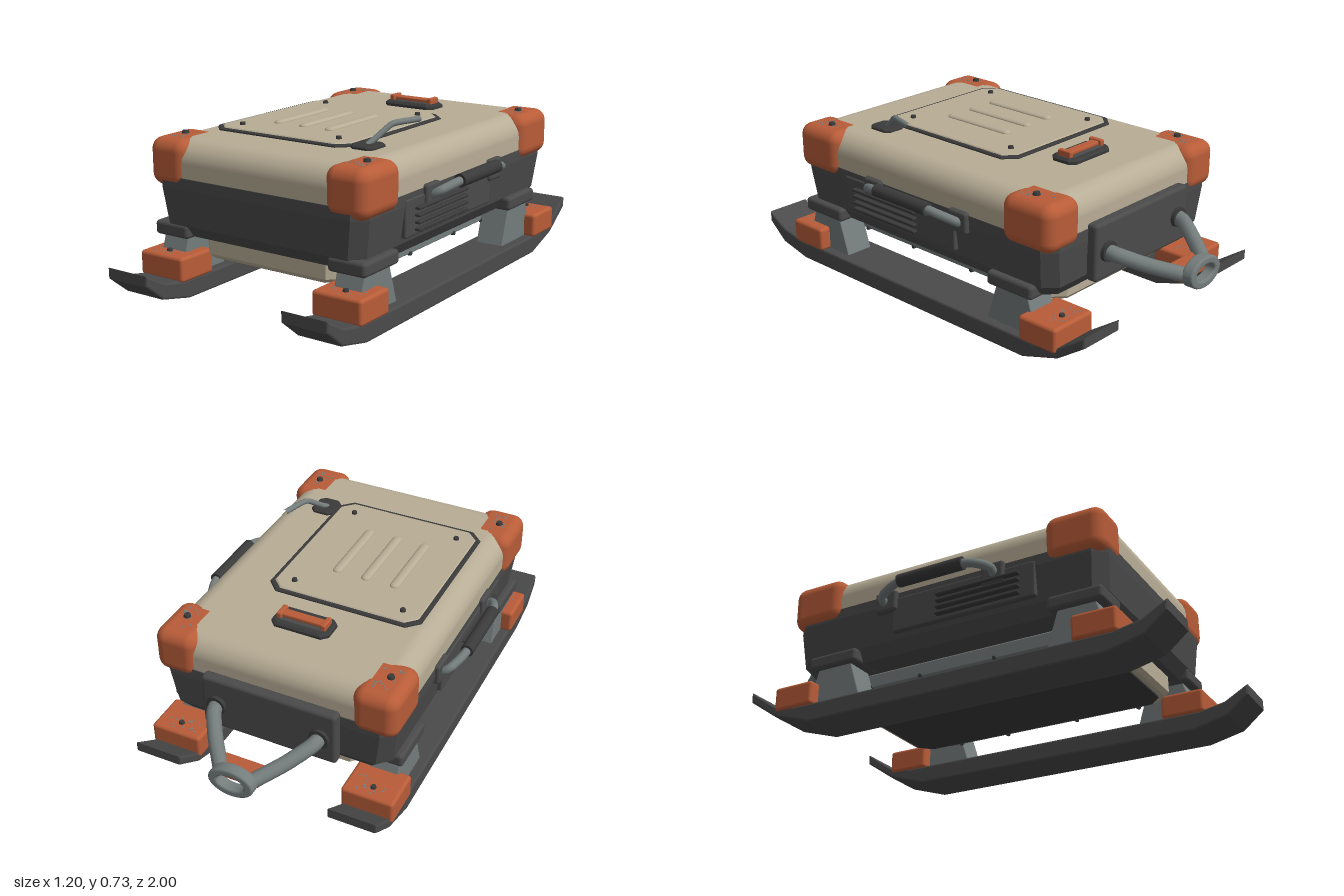
import * as THREE from 'three';
import { RoundedBoxGeometry } from 'three/addons/geometries/RoundedBoxGeometry.js';

const mat = (name, color) => Object.assign(new THREE.MeshStandardMaterial({ color }), { name });

// Stacked chamfered rectangles [y, halfX, halfZ, chamfer] joined into a closed solid
function loft(sections) {
  const rings = sections.map(([y, a, b, c]) => [
    [a, b - c], [a - c, b], [c - a, b], [-a, b - c], [-a, c - b], [c - a, -b], [a - c, -b], [a, c - b],
  ].map(([x, z]) => [x, y, z]));
  const v = [];
  rings.forEach((r, k) => {
    for (let i = 0; i < 8; i++) {
      const j = (i + 1) % 8, up = rings[k + 1];
      if (up) v.push(...r[i], ...up[i], ...r[j], ...r[j], ...up[i], ...up[j]);
      if (k === 0) v.push(0, r[0][1], 0, ...r[i], ...r[j]);
      if (!up) v.push(0, r[0][1], 0, ...r[j], ...r[i]);
    }
  });
  const g = new THREE.BufferGeometry();
  g.setAttribute('position', new THREE.Float32BufferAttribute(v, 3));
  g.computeVertexNormals();
  return g;
}

// Flat plate with chamfered corners and a small top bevel
const plate = (w, h, d, c) => loft([
  [0, w / 2, d / 2, c], [h * 0.6, w / 2, d / 2, c], [h, w / 2 - h * 0.4, d / 2 - h * 0.4, c]]);

// Side profile of [z, y] points extruded across x
function profile(points, width, bevel) {
  const g = new THREE.ExtrudeGeometry(new THREE.Shape(points.map(p => new THREE.Vector2(...p))), {
    depth: width - 2 * bevel, bevelEnabled: bevel > 0, bevelSize: bevel, bevelThickness: bevel,
    bevelOffset: -bevel, bevelSegments: 2 });
  return g.translate(0, 0, bevel - width / 2).rotateY(-Math.PI / 2);
}

const tube = (points, r) => {
  const path = new THREE.CatmullRomCurve3(points.map(p => new THREE.Vector3(...p)), false, 'catmullrom', 0.3);
  return new THREE.TubeGeometry(path, 28, r, 12);
};

export function createModel() {
  const model = new THREE.Group();
  const beige = mat('beige shell', 0xb8ad96), dark = mat('dark hull', 0x4a4a4a);
  const black = mat('black rubber', 0x3a3a3b), orange = mat('orange guard', 0xb85c38);
  const steel = mat('grey steel', 0x747c7c);

  const add = (name, geometry, material, x = 0, y = 0, z = 0) => {
    const m = new THREE.Mesh(geometry, material);
    m.name = name;
    m.position.set(x, y, z);
    model.add(m);
    return m;
  };
  const rbox = (w, h, d, r) => new RoundedBoxGeometry(w, h, d, 4, r);
  const bolt = (x, y, z, r = 0.013) => add('bolt', new THREE.CylinderGeometry(r * 0.8, r, 0.014, 10), black, x, y, z);

  // Seeded scatter of bare-metal wear chips
  let seed = 7;
  const rnd = () => (seed = (seed * 16807) % 2147483647) / 2147483647;
  const chips = (x, y, z, w, d) => {
    for (let i = 0; i < 14; i++) {
      add('wearChip', new THREE.CylinderGeometry(0.003 + rnd() * 0.003, 0.006, 0.002, 5), steel,
        x + (rnd() - 0.5) * w, y, z + (rnd() - 0.5) * d);
    }
  };

  // Hull and upper shell
  add('lowerHull', loft([
    [0.24, 0.45, 0.66, 0.05], [0.29, 0.482, 0.697, 0.05], [0.44, 0.502, 0.709, 0.05], [0.485, 0.502, 0.709, 0.05],
  ]), dark, 0, 0, 0.05);
  add('upperShell', rbox(1, 0.27, 1.41, 0.09), beige, 0, 0.498, 0.05);

  // Belly tray
  add('bellyTray', loft([[0.152, 0.32, 0.605, 0.05], [0.17, 0.335, 0.62, 0.05], [0.245, 0.335, 0.62, 0.05]]), beige, 0, 0, 0.06);
  add('bellySkidPlate', plate(0.61, 0.012, 1.17, 0.05), black, 0, 0.143, 0.06);

  // Hatch with ribs and bolts
  add('hatchFrame', plate(0.67, 0.012, 0.745, 0.05), black, -0.0775, 0.63, 0.14);
  add('hatchPanel', plate(0.64, 0.015, 0.715, 0.045), beige, -0.0775, 0.631, 0.14);
  for (const x of [-0.22, -0.092, 0.036]) {
    const rib = add('hatchRib', new THREE.CapsuleGeometry(0.021, 0.31, 5, 14), beige, x, 0.646, 0.15);
    rib.rotation.x = Math.PI / 2;
    rib.scale.z = 0.55;
  }
  for (const x of [-0.318, 0.162]) for (const z of [-0.15, 0.42]) bolt(x, 0.65, z);

  // Hatch lever
  add('leverBase', plate(0.105, 0.014, 0.12, 0.02), black, 0.305, 0.632, 0.43);
  add('lever', tube([[0.3, 0.64, 0.43], [0.315, 0.66, 0.4], [0.345, 0.708, 0.335], [0.36, 0.714, 0.3], [0.39, 0.714, 0.2]], 0.012), steel);

  // Top latch
  add('latchBase', plate(0.25, 0.022, 0.125, 0.025), black, 0, 0.631, -0.38);
  add('latchRecess', plate(0.2, 0.006, 0.075, 0.01), dark, 0, 0.65, -0.38);
  add('latchBar', rbox(0.18, 0.018, 0.04, 0.006), orange, 0, 0.662, -0.38);
  for (const s of [-1, 1]) add('latchPost', rbox(0.022, 0.032, 0.065, 0.006), orange, s * 0.095, 0.662, -0.38);

  // Rear towing bracket
  add('towPlate', rbox(0.58, 0.235, 0.05, 0.015), dark, 0, 0.39, -0.675);
  add('towYoke', rbox(0.19, 0.045, 0.09, 0.01), orange, 0, 0.31, -0.91);
  const ring = new THREE.Shape().absellipse(0, 0, 0.095, 0.063, 0, Math.PI * 2);
  ring.holes.push(new THREE.Path().absellipse(0, 0, 0.058, 0.032, 0, Math.PI * 2, true));
  add('towRing', new THREE.ExtrudeGeometry(ring, {
    depth: 0.034, bevelEnabled: true, bevelSize: 0.008, bevelOffset: -0.008, bevelThickness: 0.008, bevelSegments: 2, curveSegments: 24,
  }), steel, 0, 0.315, -0.992);

  for (const s of [-1, 1]) {
    add('towArm', tube([[s * 0.225, 0.39, -0.68], [s * 0.215, 0.38, -0.74], [s * 0.15, 0.345, -0.84], [s * 0.06, 0.31, -0.955]], 0.03), steel);
    add('towArmCollar', new THREE.CylinderGeometry(0.042, 0.042, 0.02, 16).rotateX(Math.PI / 2), black, s * 0.223, 0.388, -0.705);

    // Side vent panel and slats
    add('ventPanel', rbox(0.03, 0.15, 0.645, 0.008), dark, s * 0.492, 0.388, 0.153);
    for (let i = 0; i < 4; i++) {
      add('ventSlat', rbox(0.04, 0.012, 0.37, 0.005), black, s * 0.508, 0.337 + i * 0.028, 0.227);
    }

    // Carry handle
    add('handleTube', tube([[s * 0.5, 0.44, 0.3], [s * 0.54, 0.465, 0.3], [s * 0.568, 0.485, 0.24], [s * 0.575, 0.492, 0.18],
      [s * 0.575, 0.492, -0.07], [s * 0.568, 0.485, -0.13], [s * 0.54, 0.465, -0.2], [s * 0.5, 0.44, -0.2]], 0.018), steel);
    add('handleGrip', new THREE.CylinderGeometry(0.027, 0.027, 0.295, 18).rotateX(Math.PI / 2), black, s * 0.575, 0.492, 0.053);
    for (const z of [0.295, -0.195]) add('handleMount', rbox(0.035, 0.09, 0.1, 0.012), dark, s * 0.503, 0.452, z);

    // Side rail of the tray
    add('sideRail', rbox(0.03, 0.06, 1.0, 0.006), steel, s * 0.35, 0.195, 0.08);
    for (const z of [0.51, 0.22, -0.12, -0.36]) bolt(s * 0.364, 0.168, z, 0.01).rotation.z = -s * Math.PI / 2;

    // Ski with upturned ends
    add('ski', profile([[1, 0.155], [0.9, 0.1], [0.79, 0.078], [-0.61, 0.078], [-0.715, 0.098], [-0.845, 0.188],
      [-0.845, 0.145], [-0.715, 0.055], [-0.545, 0], [0.76, 0], [0.91, 0.035], [1, 0.11]], 0.205, 0.008), dark, s * 0.425);

    // Corner guards, legs and ski clamps: dir points outward along z
    for (const [dir, guardZ, legZ, clampZ] of [[1, 0.64, 0.635, 0.72], [-1, -0.543, -0.455, -0.622]]) {
      add('cornerGuard', rbox(0.19, 0.195, 0.25, 0.05), orange, s * 0.425, 0.536, guardZ);
      bolt(s * 0.438, 0.638, guardZ - 0.01 * dir, 0.016);
      chips(s * 0.43, 0.634, guardZ, 0.08, 0.13);
      add('legPad', rbox(0.17, 0.058, 0.23, 0.015), dark, s * 0.425, 0.262, legZ);
      add('leg', profile([[-0.13, 0.075], [0.13, 0.075], [0.078, 0.24], [-0.078, 0.24]], 0.125, 0.004), steel, s * 0.425, 0, legZ);
      add('skiClamp', rbox(0.222, 0.102, 0.185, 0.014), orange, s * 0.426, 0.125, clampZ);
      bolt(s * 0.43, 0.179, clampZ + 0.035 * dir);
      chips(s * 0.43, 0.176, clampZ + 0.03 * dir, 0.15, 0.08);
    }
  }
  return model;
}
